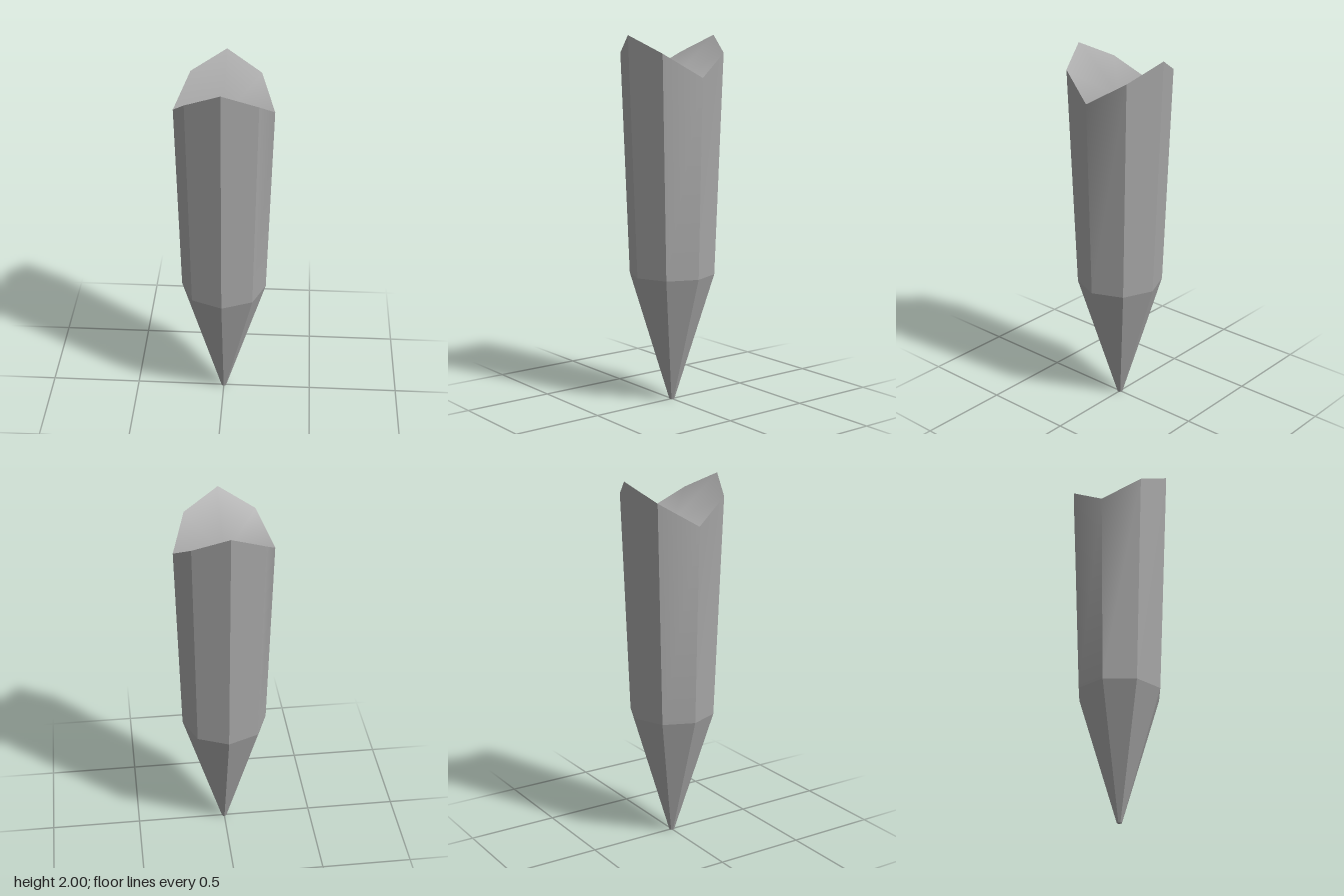
import * as THREE from 'three';

const SIDES = 8;

// Octagonal ring of corner points
function ring(radius, y) {
  return Array.from({ length: SIDES }, (_, i) => {
    const a = (i / SIDES) * Math.PI * 2;
    return new THREE.Vector3(Math.cos(a) * radius, y, Math.sin(a) * radius);
  });
}

// Flat-sided band between two rings; softSides blends the upper left and right corners
function band(low, high, softSides) {
  const pos = [], nor = [];
  const faceNormal = (i) => {
    const k = i % SIDES, j = (k + 1) % SIDES;
    const across = low[k].clone().sub(low[j]);
    return across.cross(high[k].clone().sub(low[j])).normalize();
  };
  for (let i = 0; i < SIDES; i++) {
    const j = (i + 1) % SIDES;
    const flat = faceNormal(i);
    const topNormal = (k) => {
      if (!softSides || k % 4 !== 0) return flat;
      return faceNormal(k).add(faceNormal(k + SIDES - 1)).normalize();
    };
    const corners = [
      [low[j], flat], [low[i], flat], [high[i], topNormal(i)],
      [low[j], flat], [high[i], topNormal(i)], [high[j], topNormal(j)],
    ];
    for (const [p, n] of corners) {
      pos.push(p.x, p.y, p.z);
      nor.push(n.x, n.y, n.z);
    }
  }
  const g = new THREE.BufferGeometry();
  g.setAttribute('position', new THREE.Float32BufferAttribute(pos, 3));
  g.setAttribute('normal', new THREE.Float32BufferAttribute(nor, 3));
  return g;
}

// Fan closing a ring around a centre point
function fan(rim, centreY, up) {
  const pts = [...rim, new THREE.Vector3(0, centreY, 0)];
  const index = [];
  for (let i = 0; i < SIDES; i++) {
    const j = (i + 1) % SIDES;
    index.push(SIDES, up ? j : i, up ? i : j);
  }
  const g = new THREE.BufferGeometry().setFromPoints(pts);
  g.setIndex(index);
  g.computeVertexNormals();
  return g;
}

export function createModel() {
  const group = new THREE.Group();
  group.name = 'spike';
  const stone = new THREE.MeshStandardMaterial({ color: 0xa6a6a6 });
  stone.name = 'grey stone';

  const add = (name, geometry) => {
    const mesh = new THREE.Mesh(geometry, stone);
    mesh.name = name;
    group.add(mesh);
  };

  const tip = ring(0.014, 0);
  const shoulder = ring(0.233, 0.71);

  // Upper rim: peaks at front and back, valleys at the sides
  const rimRadius = [0.262, 0.276, 0.288, 0.276];
  const rimHeight = [1.78, 1.906, 2, 1.906];
  const rim = ring(1, 0).map((p, i) => {
    const r = rimRadius[i % 4];
    return new THREE.Vector3(p.x * r, rimHeight[i % 4], p.z * r);
  });
  // Diagonal corners sit slightly nearer the side axis
  rim.forEach((p, i) => {
    if (i % 2) p.set(Math.sign(p.x) * 0.186, p.y, Math.sign(p.z) * 0.204);
  });

  add('pointedTip', band(tip, shoulder, false));
  add('shaft', band(shoulder, rim, true));
  add('notchedTop', fan(rim, 1.76, true));
  add('tipEnd', fan(tip, 0, false));
  return group;
}
